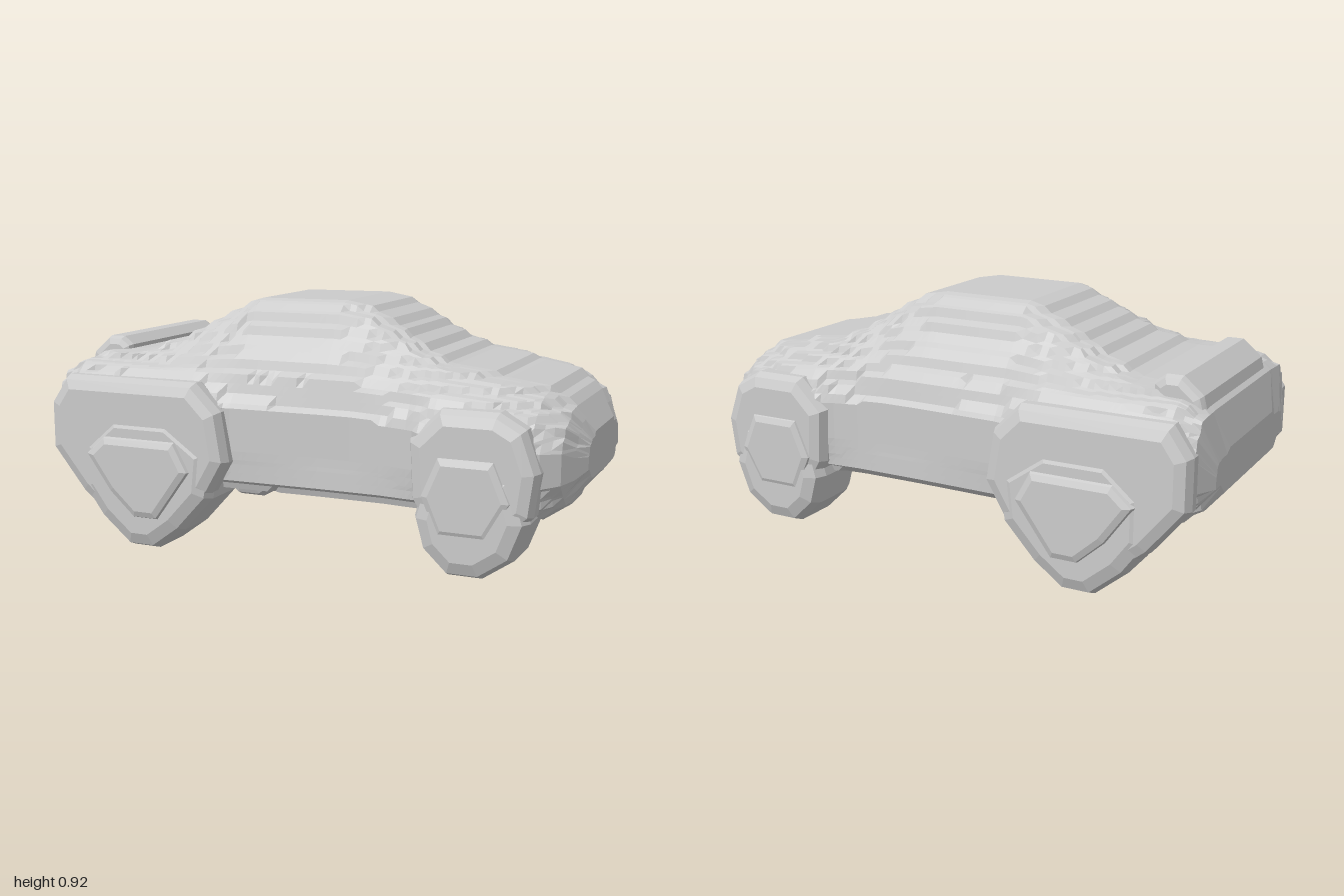
import * as THREE from 'three';

const material = new THREE.MeshStandardMaterial({ color: 0xcccccc, flatShading: true });
const lerp = THREE.MathUtils.lerp;
const STEP = 0.04;
// Pull a coordinate part of the way to a coarse grid, for the stepped surface
const snap = v => lerp(v, Math.round(v / STEP) * STEP, 0.4);

function add(parent, name, geometry) {
  const mesh = new THREE.Mesh(geometry, material);
  mesh.name = name;
  parent.add(mesh);
  return mesh;
}

// Car body stations: x, floor y, floor half width, flank half width,
// belt y, belt half width, top y, top half width
const stations = [
  [-1.00, 0.36, 0.33, 0.38, 0.47, 0.36, 0.50, 0.33],
  [-0.965, 0.32, 0.43, 0.49, 0.60, 0.46, 0.65, 0.42],
  [-0.88, 0.26, 0.46, 0.53, 0.65, 0.47, 0.70, 0.41],
  [-0.70, 0.25, 0.48, 0.55, 0.66, 0.46, 0.72, 0.37],
  [-0.55, 0.25, 0.48, 0.55, 0.66, 0.45, 0.77, 0.31],
  [-0.40, 0.25, 0.48, 0.54, 0.66, 0.44, 0.85, 0.29],
  [-0.24, 0.25, 0.47, 0.48, 0.66, 0.42, 0.925, 0.28],
  [0.10, 0.255, 0.47, 0.465, 0.66, 0.42, 0.93, 0.28],
  [0.22, 0.255, 0.47, 0.465, 0.66, 0.42, 0.895, 0.28],
  [0.33, 0.255, 0.47, 0.47, 0.65, 0.42, 0.83, 0.29],
  [0.43, 0.25, 0.47, 0.48, 0.64, 0.43, 0.765, 0.32],
  [0.53, 0.25, 0.48, 0.52, 0.63, 0.45, 0.73, 0.35],
  [0.72, 0.24, 0.48, 0.53, 0.61, 0.45, 0.695, 0.34],
  [0.86, 0.24, 0.45, 0.49, 0.58, 0.42, 0.66, 0.31],
  [0.945, 0.28, 0.37, 0.41, 0.54, 0.36, 0.60, 0.27],
  [1.00, 0.34, 0.22, 0.25, 0.47, 0.22, 0.50, 0.20],
];

// Half outline of a station, floor centre to crowned roof centre, as [z, y]
function outline([, yB, wB, wS, yBelt, wBelt, yT, wT]) {
  return [
    [0, yB], [wB - 0.05, yB], [wB, yB + 0.04], [wS, lerp(yB, yBelt, 0.35)],
    [wS, lerp(yB, yBelt, 0.72)], [wBelt, yBelt],
    [lerp(wBelt, wT, 0.5), lerp(yBelt, yT, 0.42)],
    [wT, lerp(yBelt, yT, 0.82)], [wT * 0.72, yT], [0, yT],
  ];
}

function bodyGeometry() {
  const positions = [], index = [], rings = [];
  const SUB = 4;
  for (let s = 0; s < stations.length; s++) {
    const next = stations[Math.min(s + 1, stations.length - 1)];
    const count = Math.max(1, Math.round((next[0] - stations[s][0]) / 0.025));
    for (let k = 0; k < count; k++) {
      const st = stations[s].map((v, i) => lerp(v, next[i], k / count));
      const pts = outline(st), half = [];
      for (let i = 0; i < pts.length - 1; i++)
        for (let j = 0; j < SUB; j++)
          half.push([0, 1].map(a => lerp(pts[i][a], pts[i + 1][a], j / SUB)));
      half.push(pts[pts.length - 1]);
      const mirrored = half.slice(1, -1).reverse().map(([z, y]) => [-z, y]);
      rings.push({ x: st[0], pts: [...half, ...mirrored] });
    }
  }
  const n = rings[0].pts.length;
  for (const { x, pts } of rings)
    for (const [z, y] of pts) positions.push(x, snap(y), snap(z));
  for (let i = 0; i < rings.length - 1; i++)
    for (let j = 0; j < n; j++) {
      const a = i * n + j, b = i * n + (j + 1) % n;
      index.push(a, a + n, b + n, a, b + n, b);
    }
  // End caps
  const last = (rings.length - 1) * n, c = positions.length / 3;
  positions.push(-1, 0.43, 0, 1, 0.43, 0);
  for (let j = 0; j < n; j++) {
    const k = (j + 1) % n;
    index.push(c, j, k, c + 1, last + k, last + j);
  }
  const geometry = new THREE.BufferGeometry();
  geometry.setAttribute('position', new THREE.Float32BufferAttribute(positions, 3));
  geometry.setIndex(index);
  geometry.computeVertexNormals();
  return geometry;
}

// Bevelled slab with an x, y outline, between two z values
function slab(points, z0, z1, bevel) {
  const shape = new THREE.Shape(points.map(([x, y]) => new THREE.Vector2(x, y)));
  return new THREE.ExtrudeGeometry(shape, {
    depth: z1 - z0 - 2 * bevel, bevelThickness: bevel, bevelSize: bevel,
    bevelOffset: -bevel, bevelSegments: 2,
  }).translate(0, 0, z0 + bevel);
}

// Wheel, fender and hub bulge outlines at each end
const corners = [
  {
    end: 'rear',
    wheel: [[-0.84, 0.22], [-0.76, 0.11], [-0.64, 0.01], [-0.53, 0.01], [-0.42, 0.09],
      [-0.3, 0.22], [-0.28, 0.4], [-0.45, 0.52], [-0.7, 0.52], [-0.84, 0.4]],
    wheelZ: [0.28, 0.56],
    fender: [[-0.97, 0.36], [-0.84, 0.2], [-0.74, 0.12], [-0.42, 0.12], [-0.3, 0.24],
      [-0.23, 0.36], [-0.26, 0.54], [-0.36, 0.64], [-0.9, 0.64], [-0.97, 0.54]],
    fenderZ: [0.42, 0.555],
    hub: [[-0.8, 0.36], [-0.7, 0.22], [-0.6, 0.13], [-0.5, 0.13], [-0.36, 0.32],
      [-0.42, 0.43], [-0.72, 0.43]],
    hubZ: [0.5, 0.58],
  },
  {
    end: 'front',
    wheel: [[0.47, 0.24], [0.5, 0.13], [0.59, 0.045], [0.71, 0.045], [0.82, 0.12],
      [0.87, 0.25], [0.82, 0.42], [0.52, 0.42]],
    wheelZ: [0.26, 0.545],
    fender: [[0.46, 0.3], [0.52, 0.2], [0.8, 0.2], [0.88, 0.27], [0.9, 0.42],
      [0.85, 0.56], [0.76, 0.61], [0.56, 0.61], [0.45, 0.5]],
    fenderZ: [0.38, 0.535],
    hub: [[0.5, 0.32], [0.56, 0.18], [0.74, 0.18], [0.82, 0.32], [0.76, 0.46], [0.56, 0.46]],
    hubZ: [0.48, 0.55],
  },
];

export function createModel() {
  const car = new THREE.Group();
  car.name = 'car';
  add(car, 'body', bodyGeometry());

  // Chunky wheels blending into the fenders, turned about for the far side
  for (const side of [1, -1])
    for (const c of corners) {
      const group = new THREE.Group();
      group.name = c.end + (side > 0 ? 'Right' : 'Left') + 'Wheel';
      const sided = pts => side > 0 ? pts : pts.map(([x, y]) => [-x, y]).reverse();
      add(group, 'wheel', slab(sided(c.wheel), ...c.wheelZ, 0.06));
      add(group, 'fender', slab(sided(c.fender), ...c.fenderZ, 0.05));
      add(group, 'hub', slab(sided(c.hub), ...c.hubZ, 0.03));
      if (side < 0) group.rotation.y = Math.PI;
      car.add(group);
    }

  // Low ridge across the tail
  add(car, 'tailRidge', slab([[-0.96, 0.62], [-0.77, 0.62], [-0.77, 0.73], [-0.81, 0.76],
    [-0.87, 0.76], [-0.94, 0.7]], -0.38, 0.3, 0.03));

  // Raised panel on the nose
  const nose = new THREE.CylinderGeometry(0.2, 0.26, 0.03, 8).rotateZ(-Math.PI / 2);
  nose.scale(1, 0.4, 1).translate(0.985, 0.42, 0);
  add(car, 'nosePanel', nose);
  return car;
}
